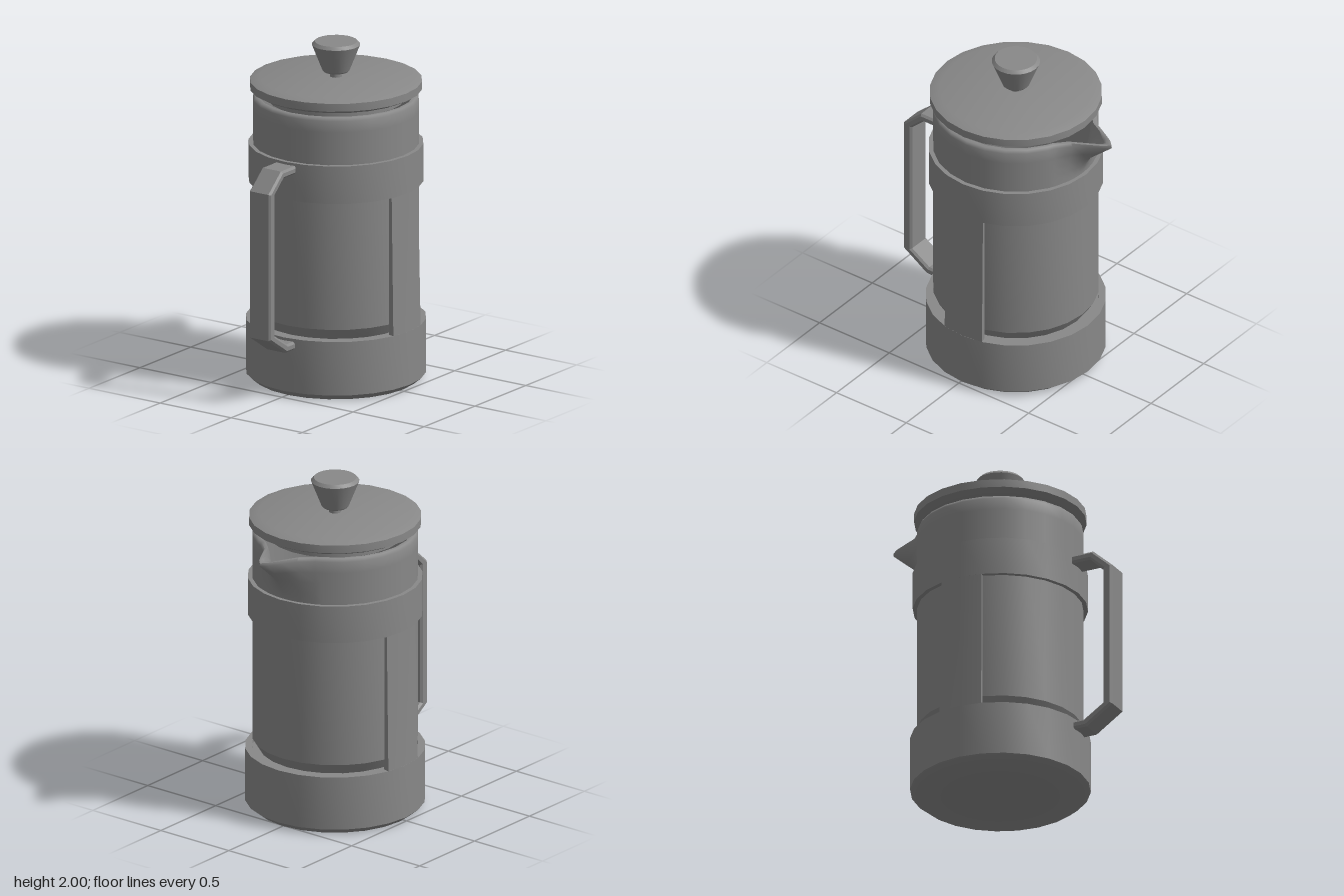
import * as THREE from 'three';
import { toCreasedNormals } from 'three/addons/utils/BufferGeometryUtils.js';

const material = new THREE.MeshStandardMaterial({ color: 0x888888 });
const AXIS_X = 0.031; // the pot axis, offset to balance handle and spout
const SIDES = 24;

const toPoints = (pairs) => pairs.map(([x, y]) => new THREE.Vector2(x, y));

function part(name, geometry, crease = 0.4) {
  const mesh = new THREE.Mesh(toCreasedNormals(geometry, crease), material);
  mesh.name = name;
  return mesh;
}

const turned = (name, profile, crease) =>
  part(name, new THREE.LatheGeometry(toPoints(profile), SIDES), crease);

// Collar and lining of the beaker: lathe columns re-spaced around the spout and pulled outwards
function makeSpoutCollar() {
  // [radius, height, spout amount]
  const profile = [
    [0.477, 1.39, 0], [0.477, 1.42, 0], [0.477, 1.47, 0.1], [0.477, 1.53, 0.27], [0.477, 1.595, 0.63],
    [0.477, 1.662, 0.99], [0.467, 1.68, 1.03], [0.443, 1.68, 0.99],
    [0.438, 1.66, 0.93], [0.438, 1.595, 0.57], [0.438, 1.53, 0.2],
    [0.438, 1.42, 0], [0.438, 0.4, 0], [0, 0.4, 0],
  ];
  // [degrees from the spout, outward pull at the rim]
  const lip = [[0, 0.213], [3, 0.179], [7.9, 0.106], [14, 0.038], [25, 0]];
  const columns = [...lip];
  for (let a = 30; a <= 330; a += 15) columns.push([a, 0]);
  for (const [a, pull] of [...lip].reverse()) columns.push([360 - a, pull]);

  const geometry = new THREE.LatheGeometry(toPoints(profile), columns.length - 1);
  const position = geometry.attributes.position;
  for (let i = 0; i < position.count; i++) {
    const [angle, pull] = columns[Math.floor(i / profile.length)];
    const [radius, y, amount] = profile[i % profile.length];
    const phi = THREE.MathUtils.degToRad(angle + 90);
    const r = radius + pull * amount;
    position.setXYZ(i, r * Math.sin(phi), y, r * Math.cos(phi));
  }
  return part('spoutCollar', geometry, 1.2);
}

// Strap: a box bent around the pot axis, its outside leaning in towards the band
function makeStrap(name, turn) {
  const bottom = 0.34, top = 1.19;
  const geometry = new THREE.BoxGeometry(1, 1, 1, 2, 1, 1);
  const position = geometry.attributes.position;
  for (let i = 0; i < position.count; i++) {
    const t = position.getY(i) + 0.5;
    const angle = position.getX(i) * (Math.PI / 6) + turn;
    const r = position.getZ(i) > 0 ? 0.5175 - t * 0.0155 : 0.476;
    position.setXYZ(i, r * Math.sin(angle), THREE.MathUtils.lerp(bottom, top, t), r * Math.cos(angle));
  }
  return part(name, geometry);
}

// Handle: angular bracket outline, extruded with a small chamfer
function makeHandle() {
  const outline = new THREE.Shape(toPoints([
    [-0.46, 1.385], [-0.6, 1.385], [-0.723, 1.275], [-0.723, 0.4], [-0.557, 0.29], [-0.467, 0.29],
    [-0.467, 0.338], [-0.542, 0.338], [-0.665, 0.418], [-0.665, 1.262], [-0.582, 1.338], [-0.46, 1.338],
  ]));
  const width = 0.15, chamfer = 0.012;
  const geometry = new THREE.ExtrudeGeometry(outline, {
    depth: width - 2 * chamfer, bevelEnabled: true, bevelSegments: 1,
    bevelSize: chamfer, bevelThickness: chamfer, bevelOffset: -chamfer,
  });
  geometry.translate(0, 0, chamfer - width / 2);
  return part('handle', geometry);
}

export function createModel() {
  const model = new THREE.Group();
  model.name = 'coffeePress';

  const pot = new THREE.Group();
  pot.name = 'pot';
  pot.position.x = AXIS_X;

  // Beaker
  pot.add(turned('beakerWall', [[0, 0.345], [0.437, 0.35], [0.477, 0.415], [0.477, 1.39]]));
  pot.add(makeSpoutCollar());

  // Frame: base cup, upper band and the two straps between them
  pot.add(turned('base', [
    [0, 0], [0.475, 0], [0.518, 0.035], [0.518, 0.355], [0.478, 0.355], [0.478, 0.335], [0, 0.335],
  ], 0.75));
  pot.add(turned('band', [
    [0.474, 1.176], [0.5025, 1.176], [0.5025, 1.4], [0.474, 1.4], [0.474, 1.176],
  ]));
  pot.add(makeStrap('frontStrap', 0), makeStrap('backStrap', Math.PI));

  // Lid with its plug, plunger stem and knob
  pot.add(turned('lidPlug', [[0, 1.66], [0.395, 1.66], [0.395, 1.715], [0, 1.715]]));
  pot.add(turned('lid', [
    [0, 1.705], [0.455, 1.705], [0.495, 1.725], [0.495, 1.772], [0.44, 1.79], [0, 1.79],
  ]));
  pot.add(turned('stem', [[0, 1.78], [0.035, 1.78], [0.035, 1.83], [0, 1.83]]));
  pot.add(turned('knob', [
    [0, 1.82], [0.07, 1.82], [0.078, 1.828], [0.139, 1.982], [0.122, 2], [0, 2],
  ]));

  model.add(pot, makeHandle());
  return model;
}
